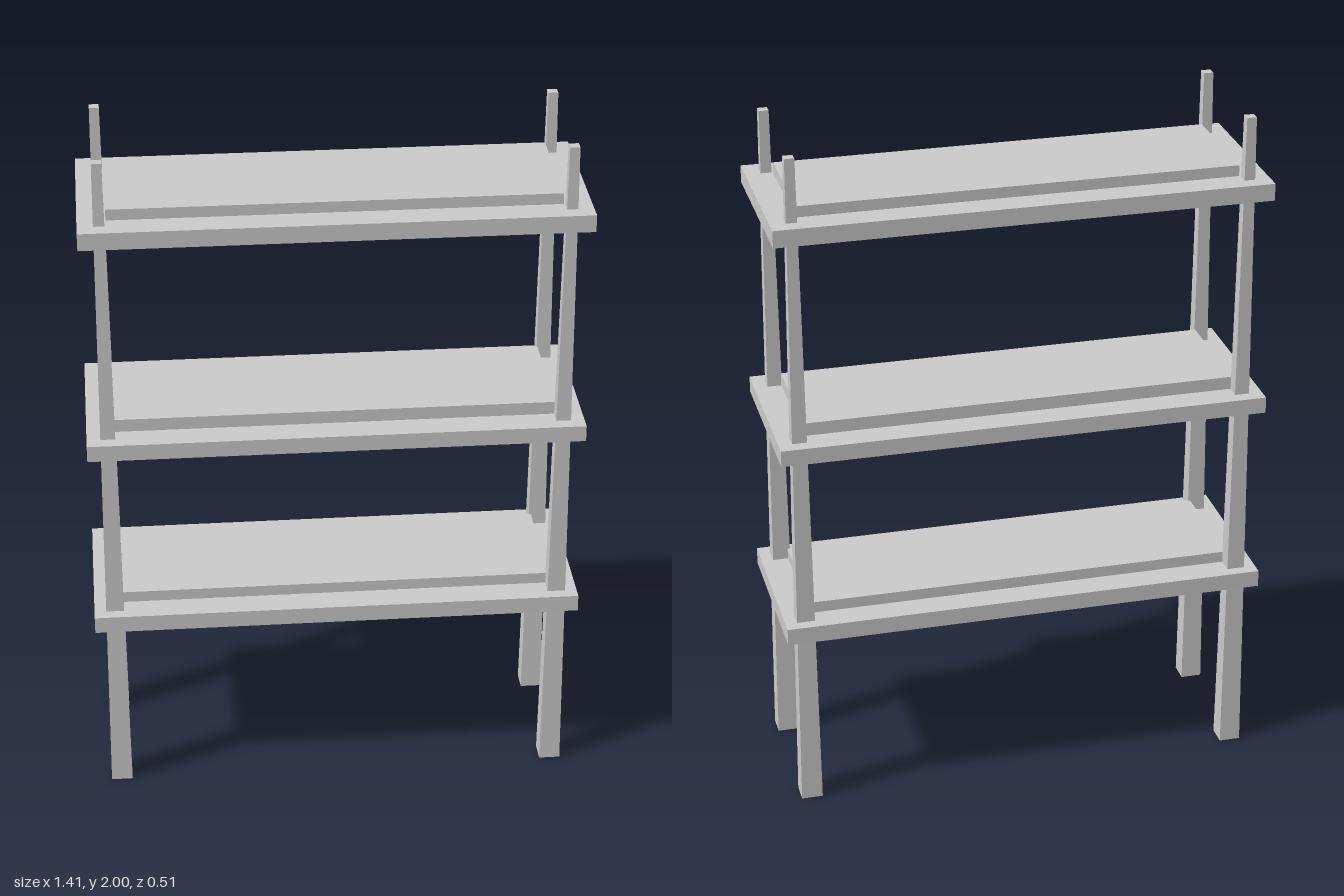
import * as THREE from 'three';

export function createModel() {
  const model = new THREE.Group();
  model.name = 'shelfUnit';
  const material = new THREE.MeshStandardMaterial({ color: 0xcccccc, flatShading: true });

  function addBox(parent, name, w, d, y0, y1) {
    const mesh = new THREE.Mesh(new THREE.BoxGeometry(w, y1 - y0, d), material);
    mesh.position.y = (y0 + y1) / 2;
    mesh.name = name;
    parent.add(mesh);
  }

  // Shelves: a wide board with a smaller raised panel on top
  const shelves = [
    ['lowerShelf', 0.543, 0.593, 0.626],
    ['middleShelf', 1.113, 1.161, 1.199],
    ['upperShelf', 1.767, 1.817, 1.849],
  ];
  for (const [name, bottom, top, panelTop] of shelves) {
    const shelf = new THREE.Group();
    shelf.name = name;
    addBox(shelf, 'board', 1.414, 0.508, bottom, top);
    addBox(shelf, 'raisedPanel', 1.256, 0.344, top, panelTop);
    model.add(shelf);
  }

  // Square posts, tapering evenly from the floor to the top
  const postGeometry = new THREE.BoxGeometry(1, 2, 1);
  const p = postGeometry.attributes.position;
  for (let i = 0; i < p.count; i++) {
    const width = p.getY(i) > 0 ? 0.028 : 0.062;
    p.setXYZ(i, p.getX(i) * width, p.getY(i) + 1, p.getZ(i) * width);
  }
  postGeometry.computeVertexNormals();

  for (const sx of [-1, 1]) {
    for (const sz of [-1, 1]) {
      const post = new THREE.Mesh(postGeometry, material);
      post.position.set(sx * 0.647, 0, sz * 0.194);
      post.name = (sz > 0 ? 'front' : 'back') + (sx > 0 ? 'Left' : 'Right') + 'Post';
      model.add(post);
    }
  }
  return model;
}
